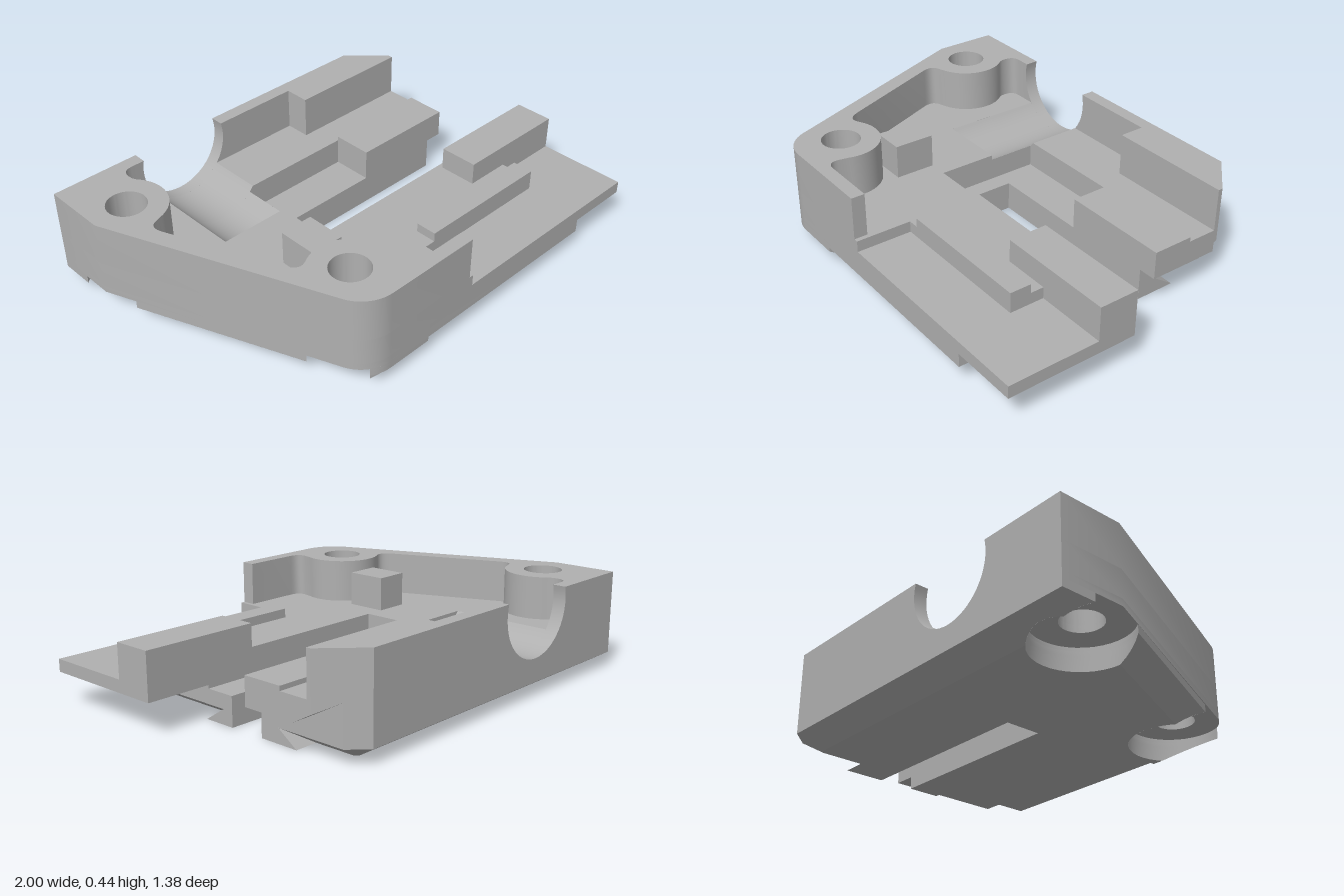
import * as THREE from 'three';
import { toCreasedNormals } from 'three/addons/utils/BufferGeometryUtils.js';

const grey = new THREE.MeshStandardMaterial({ color: 0xb0b0b0, side: THREE.DoubleSide });
grey.name = 'plain grey';

// Plan points are [x, z]; angles run from +x towards +z
const arc = (c, r, a0, a1, n = 28) => Array.from({ length: n + 1 }, (_, i) => {
  const a = a0 + (a1 - a0) * i / n;
  return [c[0] + r * Math.cos(a), c[1] + r * Math.sin(a)];
});
const bend = (p, c, q, n = 6) => Array.from({ length: n + 1 }, (_, i) => {
  const t = i / n, s = 1 - t;
  return [0, 1].map(k => s * s * p[k] + 2 * s * t * c[k] + t * t * q[k]);
});

const BACK = [-0.83, -0.43], FRONT = [-0.47, 0.475];   // screw centres
const HOLE = 0.085, BORE = 0.2, BOSS = 0.17;
const CORNER = [-0.46, 0.52];

export function createModel() {
  const group = new THREE.Group();
  const add = (name, geo) => {
    const m = new THREE.Mesh(toCreasedNormals(geo, 0.5), grey);
    m.name = name;
    group.add(m);
  };
  const toShape = pts => new THREE.Shape(pts.map(p => new THREE.Vector2(p[0], p[1])));
  const slab = (name, pts, y0, y1, drilled) => {
    const s = toShape(pts.map(p => [p[0], -p[1]]));
    if (drilled) for (const c of [BACK, FRONT]) {
      s.holes.push(new THREE.Path().absarc(c[0], -c[1], HOLE, 0, Math.PI * 2, true));
    }
    const g = new THREE.ExtrudeGeometry(s, { depth: y1 - y0, bevelEnabled: false, curveSegments: 32 });
    add(name, g.rotateX(-Math.PI / 2).translate(0, y0, 0));
  };
  const box = (name, x0, x1, y0, y1, z0, z1) => add(name,
    new THREE.BoxGeometry(x1 - x0, y1 - y0, z1 - z0).translate((x0 + x1) / 2, (y0 + y1) / 2, (z0 + z1) / 2));

  // Lower body, with screw recesses biting through the left edge
  const bite1 = arc(BACK, BORE, -2.588, 2.196), bite2 = arc(FRONT, BORE, -2.951, 1.965);
  const slot = [[0.705, -0.03], [-0.165, -0.03], [-0.165, -0.195], [0.705, -0.195]];
  const tail = [...slot, [0.705, -0.615], [0.63, -0.69]];
  const bitten = [[-1, -0.69], ...bite1, ...bite2, ...arc(CORNER, 0.165, 2.127, Math.PI / 2, 6)];
  const leftSide = [[-1, -0.69], [-1, -0.4], ...arc(CORNER, 0.165, 2.762, Math.PI / 2, 10)];
  slab('lowerBase', [...bitten, [-0.25, 0.685], [-0.25, 0.56], [0.705, 0.56], ...tail], 0.065, 0.085);
  slab('middleBase', [...bitten, [0.705, 0.685], ...tail], 0.085, 0.1);
  slab('upperBase', [...leftSide, [0.705, 0.685], ...tail], 0.1, 0.13, true);

  // Chamfered underside: flat face, sloped edges and the short walls joining them
  const IN = 0.105, RISE = 0.065;
  const lift = ([x, z, y]) => {
    if (y !== undefined) return y;
    const slant = ((x + 1) * 0.98 - (z + 0.4) * 0.39) / 1.055;
    const diagonal = (1.32 - x + z) / Math.SQRT2;
    const d = Math.min(x + 1, z + 0.69, 0.685 - z, slant, diagonal);
    return RISE * Math.min(1, Math.max(0, 1 - d / IN));
  };
  const pos = [];
  const tri = (...v) => v.forEach(p => pos.push(...p));
  const face = pts => {
    const v2 = pts.map(p => new THREE.Vector2(p[0], p[1]));
    for (const f of THREE.ShapeUtils.triangulateShape(v2, [])) {
      const [a, b, c] = f.map(i => pts[i]);
      const up = (b[1] - a[1]) * (c[0] - a[0]) - (b[0] - a[0]) * (c[1] - a[1]) > 0;
      tri(...(up ? [a, c, b] : [a, b, c]).map(p => [p[0], lift(p), p[1]]));
    }
  };
  const wall = (pts, top = RISE) => {
    for (let i = 0; i + 1 < pts.length; i++) {
      const [p, q] = [pts[i], pts[i + 1]];
      const a = [p[0], lift(p), p[1]], b = [q[0], lift(q), q[1]];
      const c = [q[0], top, q[1]], d = [p[0], top, p[1]];
      tri(a, b, c);
      tri(a, c, d);
    }
  };
  face([...arc(BACK, BORE, -0.888, 1.518), ...arc(FRONT, BORE, -2.277, 0.553),
    [-0.25, 0.58], [-0.25, 0.56], [0.6, 0.56], [0.6, 0.12], [0.705, 0.12, 0],
    [0.705, -0.03, 0], [-0.165, -0.03], [-0.165, -0.195], [0.705, -0.195, 0],
    [0.705, -0.38, 0], [0.6, -0.38], [0.6, -0.5715], [0.5865, -0.585]]);
  face([[-1, -0.69], [0.63, -0.69], [0.5865, -0.585], ...arc(BACK, BORE, -0.888, -2.032, 10)]);
  face([[-1, -0.69], ...arc(BACK, BORE, -2.032, -2.588, 6)]);
  face([...arc(BACK, BORE, 2.196, 1.518, 8), ...arc(FRONT, BORE, -2.277, -2.951, 8)]);
  face([[-0.46, 0.685], [-0.25, 0.685], [-0.25, 0.58], ...arc(FRONT, BORE, 0.553, 1.965, 12)]);
  face([[0.63, -0.69], [0.705, -0.615], [0.6, -0.5715], [0.5865, -0.585]]);
  // arm end chamfers: [slot edge, edge at the bottom, edge at the top, outer top, outer bottom]
  for (const [s, b, t, ot, ob] of [[-0.03, 0.12, 0.02, 0.56, 0.56], [-0.195, -0.38, -0.285, -0.615, -0.5715]]) {
    face([[0.705, t, RISE], [0.705, ot, RISE], [0.6, ob, 0], [0.6, b, 0]]);
    face([[0.6, b, 0], [0.705, b, 0], [0.705, t, RISE]]);
    tri([0.705, 0, s], [0.705, 0, b], [0.705, RISE, t]);
    tri([0.705, 0, s], [0.705, RISE, t], [0.705, RISE, s]);
  }
  wall(bite1);
  wall(bite2);
  wall([[-0.25, 0.685], [-0.25, 0.58], [-0.25, 0.56], [0.6, 0.56], [0.705, 0.56, RISE]]);
  wall(slot.map(p => [...p, 0]));
  const under = new THREE.BufferGeometry();
  under.setAttribute('position', new THREE.Float32BufferAttribute(pos, 3));
  under.computeVertexNormals();
  add('underside', under);

  // Pocket floor and the back arm
  slab('pocketFloor', [...leftSide, [0, 0.685], [0, 0.105], [-0.245, 0.105], [-0.245, -0.16],
    [-0.56, -0.16], [-0.56, -0.63], [-0.61, -0.63], [-0.61, -0.69]], 0.13, 0.25, true);
  slab('backArm', [[-0.17, -0.69], [0.63, -0.69], [0.705, -0.615], [0.705, -0.38],
    [-0.225, -0.38], [-0.225, -0.63], [-0.17, -0.63]], 0.13, 0.25);

  // Overhanging tip of the back arm, trimmed along the corner chamfer
  const tip = new THREE.ExtrudeGeometry(
    toShape([[0.195, 0.145], [0.44, 0.145], [0.615, 0.24], [0.615, 0.25], [0.195, 0.25]]),
    { depth: 0.08, bevelEnabled: false }).rotateY(Math.PI / 2);
  const tp = tip.attributes.position;
  for (let i = 0; i < tp.count; i++) {
    const z = tp.getZ(i);
    if (z < -0.6 && tp.getX(i) > 0.04) {
      tp.setZ(i, -0.535);
      if (tp.getY(i) < 0.245) tp.setY(i, 0.197);
    }
  }
  tip.computeVertexNormals();
  add('backArmTip', tip.translate(0.705, 0, 0));
  box('backShelf', 0.29, 0.785, 0.145, 0.27, -0.38, -0.195);
  box('backShelfFoot', 0.29, 0.705, 0.13, 0.145, -0.38, -0.195);

  // Round cable channel, cut through the back wall and the floor
  const AX = [-0.3925, 0.385], R = 0.2147;
  const channel = (name, x0, x1, top, a0, a1, z0, z1) => {
    const s = toShape([[x0, 0.13], [x1, 0.13], [x1, top], ...arc(AX, R, a0, a1, 32), [x0, top]]);
    add(name, new THREE.ExtrudeGeometry(s, { depth: z1 - z0, bevelEnabled: false }).translate(0, 0, z0));
  };
  channel('channelMouth', -0.61, -0.17, 0.44, 0.259, -Math.PI - 0.259, -0.69, -0.63);
  channel('channelBack', -0.56, -0.225, 0.25, -0.68, -Math.PI + 0.68, -0.63, -0.38);
  channel('channelFront', -0.56, -0.245, 0.2285, -0.815, -Math.PI + 0.68, -0.38, -0.16);

  // Front arm with its flange, ridge and blocks
  box('frontArmFoot', -0.245, 0.705, 0.13, 0.145, 0.105, 0.685);
  box('frontFlange', 0, 1, 0.145, 0.2, 0.105, 0.685);
  slab('frontArmFloor', [[-0.245, 0.105], [0.68, 0.105], [0.68, 0.34], [0.05, 0.34],
    [0.05, 0.435], [-0.245, 0.435]], 0.145, 0.25);
  box('frontRidge', 0.05, 0.68, 0.2, 0.29, 0.34, 0.435);
  box('endBlock', 0.47, 1, 0.145, 0.35, 0.105, 0.28);
  box('pocketBlock', -0.48, -0.33, 0.25, 0.4, 0.105, 0.285);

  // Raised walls with the two screw bosses
  slab('leftWall', [[-0.61, -0.69], ...leftSide, [-0.02, 0.685], [-0.02, 0.625],
    ...bend([-0.27, 0.625], [-0.325, 0.625], [-0.318, 0.575]),
    ...arc(FRONT, BOSS, 0.33, -2.06),
    ...bend([-0.57, 0.335], [-0.615, 0.36], [-0.645, 0.29]),
    ...bend([-0.838, -0.19], [-0.86, -0.25], [-0.8, -0.26]),
    ...arc(BACK, BOSS, 1.3, -0.72),
    ...bend([-0.71, -0.56], [-0.72, -0.63], [-0.665, -0.63]), [-0.61, -0.63]], 0.25, 0.44, true);
  slab('backWall', [[-0.17, -0.69], [0.63, -0.69], [0.785, -0.535], [0.785, -0.515],
    [0.215, -0.515], [0.215, -0.63], [-0.17, -0.63]], 0.25, 0.44);

  return group;
}
